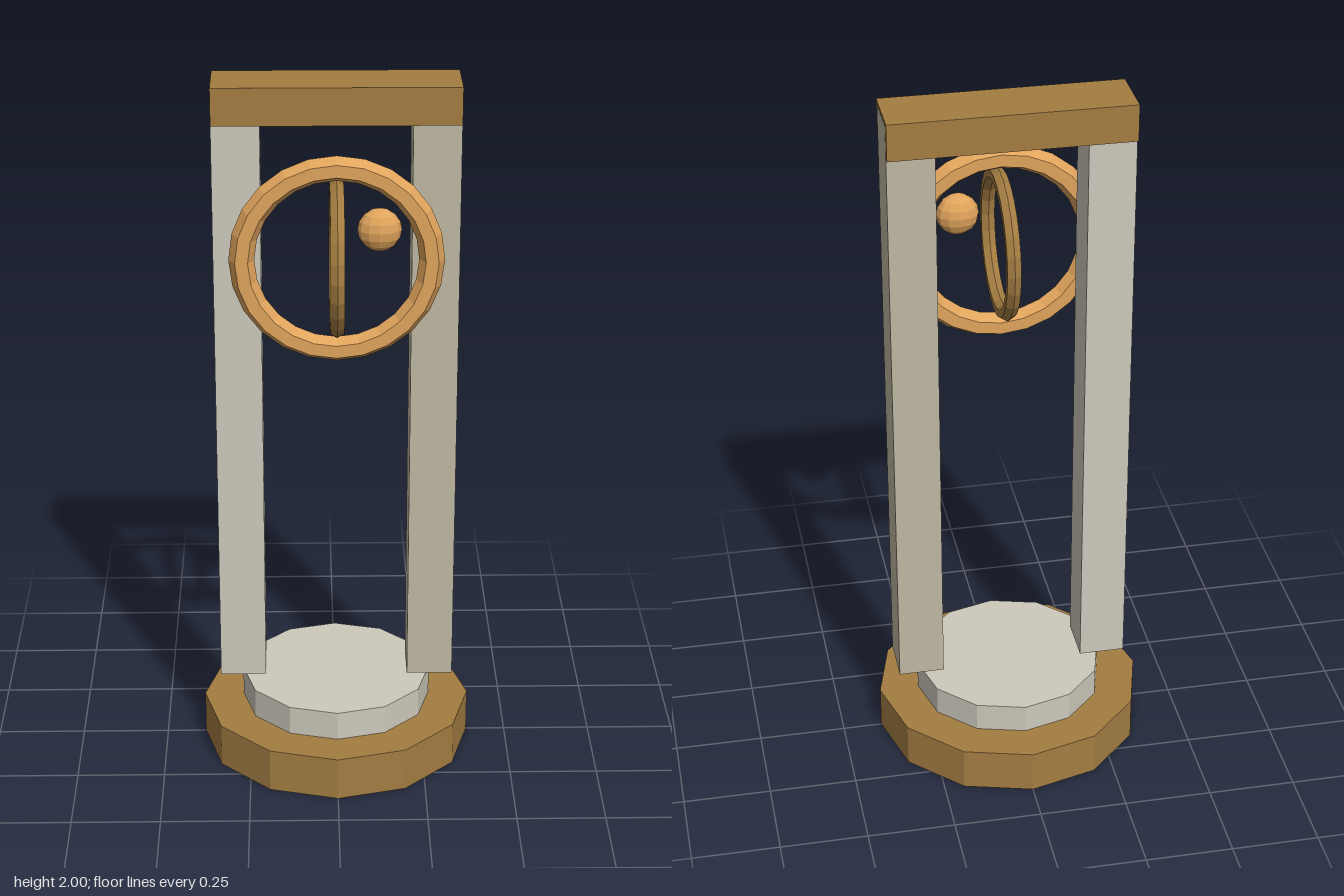
import * as THREE from 'three';

export function createModel() {
  const model = new THREE.Group();
  const paint = (color) => new THREE.MeshStandardMaterial({ color, flatShading: true });
  const bronze = paint(0xa47d42);
  const copper = paint(0xe0a45c);
  const paleStone = paint(0xcdc9bc);
  const warmStone = paint(0xbfb8a2);

  const add = (name, geometry, material, x, y, z) => {
    const mesh = new THREE.Mesh(geometry, material);
    mesh.name = name;
    mesh.position.set(x, y, z);
    model.add(mesh);
    return mesh;
  };

  // Twelve-sided stepped base
  add('base', new THREE.CylinderGeometry(0.387, 0.387, 0.127, 12), bronze, 0, 0.0635, 0);
  add('plinth', new THREE.CylinderGeometry(0.273, 0.273, 0.085, 12), paleStone, 0, 0.1695, 0);

  // Two posts floating just above the plinth, the left one in a warmer stone
  for (const side of [-1, 1]) {
    add(side > 0 ? 'leftPost' : 'rightPost', new THREE.BoxGeometry(0.131, 1.76, 0.142),
      side > 0 ? warmStone : paleStone, side * 0.271, 1.11, 0);
  }

  // Crossbeam over the posts
  add('crossbeam', new THREE.BoxGeometry(0.672, 0.105, 0.172), bronze, 0, 1.9475, 0);

  // Crossed rings with hexagonal section, hanging in front of the gate
  add('outerRing', new THREE.TorusGeometry(0.258, 0.035, 6, 24), copper, 0, 1.53, 0.117);
  const inner = add('innerRing', new THREE.TorusGeometry(0.195, 0.022, 6, 24), bronze, 0, 1.53, 0.107);
  inner.rotation.y = Math.PI / 2;

  // Flattened bead beside the inner ring
  const bead = add('bead', new THREE.SphereGeometry(0.06, 12, 8), copper, 0.115, 1.62, 0.13);
  bead.scale.z = 0.7;

  return model;
}
